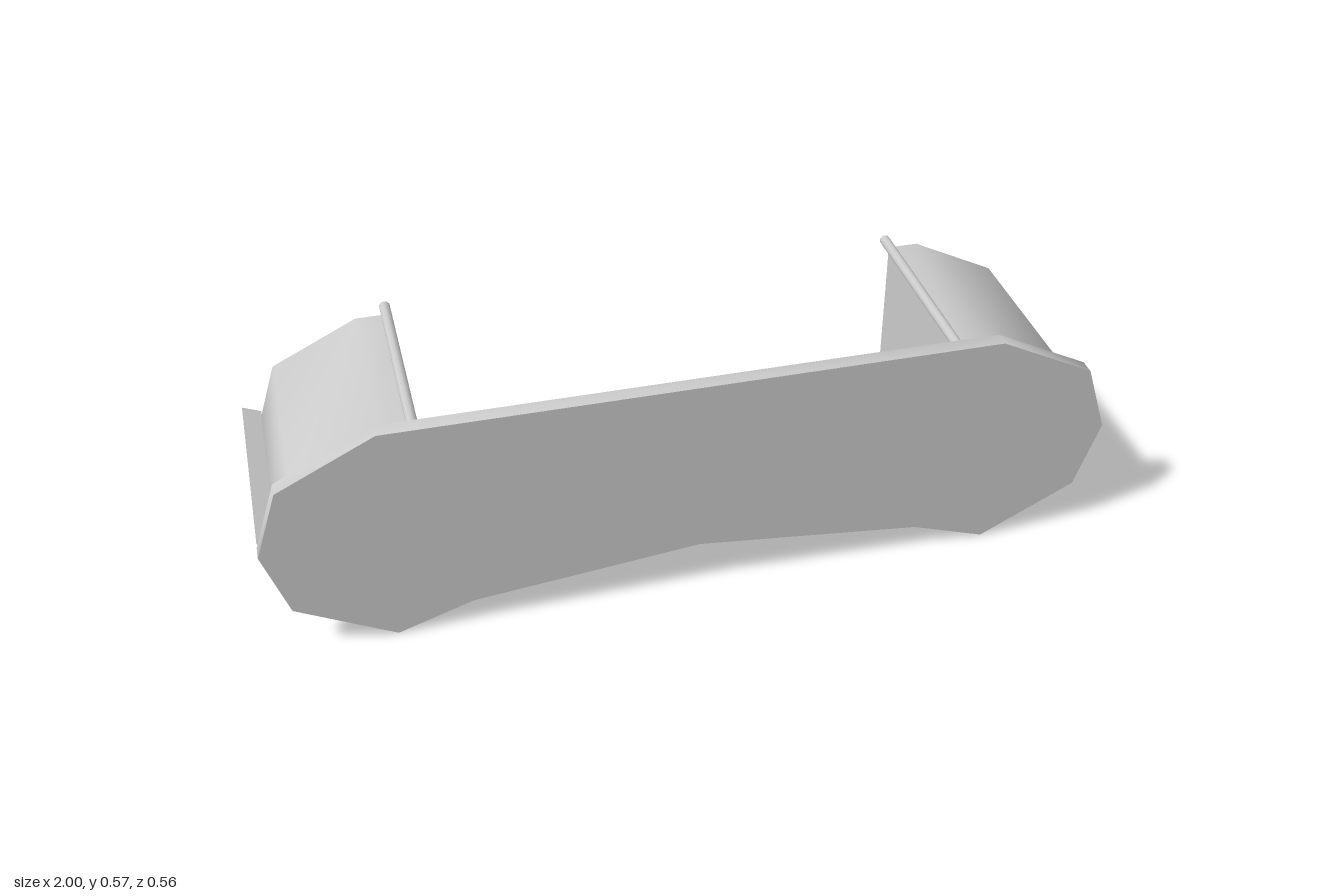
import * as THREE from 'three';
import { toCreasedNormals } from 'three/addons/utils/BufferGeometryUtils.js';

const FRONT = 0.283, PLATE_BACK = 0.245, SHELL_BACK = -0.25, ROD_BACK = -0.282;
const CREASE = 0.9;

const grey = new THREE.MeshStandardMaterial({ color: 0xcccccc });
const greySheet = new THREE.MeshStandardMaterial({ color: 0xcccccc, side: THREE.DoubleSide });

// Mirrors a right-hand half profile into a closed loop
function mirrorLoop(half) {
  const other = half.filter(([x]) => x !== 0).map(([x, y]) => [-x, y]).reverse();
  return [...half, ...other];
}

// Solid prism from an outline, running along z
function prism(points, z0, z1) {
  const shape = new THREE.Shape(points.map(([x, y]) => new THREE.Vector2(x, y)));
  const geo = new THREE.ExtrudeGeometry(shape, { depth: z1 - z0, bevelEnabled: false });
  geo.translate(0, 0, z0);
  return geo;
}

// Open-ended thin sheet following a closed outline
function sheet(points, z0, z1) {
  const pos = [], index = [];
  points.forEach(([x, y], i) => {
    pos.push(x, y, z0, x, y, z1);
    const a = 2 * i, b = 2 * ((i + 1) % points.length);
    index.push(a, b, b + 1, a, b + 1, a + 1);
  });
  const geo = new THREE.BufferGeometry();
  geo.setAttribute('position', new THREE.Float32BufferAttribute(pos, 3));
  geo.setIndex(index);
  return toCreasedNormals(geo, CREASE);
}

// Round rod along z
function roundRod(x, y, r) {
  const geo = new THREE.CylinderGeometry(r, r, PLATE_BACK - ROD_BACK, 10);
  geo.rotateX(Math.PI / 2);
  geo.translate(x, y, (PLATE_BACK + ROD_BACK) / 2);
  return geo;
}

export function createModel() {
  const group = new THREE.Group();
  const add = (name, geo, mat = grey) => {
    const mesh = new THREE.Mesh(geo, mat);
    mesh.name = name;
    group.add(mesh);
  };

  // Front plate
  const plate = mirrorLoop([
    [0, 0.12], [0.54, 0.062], [0.717, 0.002], [0.945, 0.12],
    [1, 0.285], [0.945, 0.452], [0.717, 0.567],
  ]);
  add('frontPlate', toCreasedNormals(prism(plate, PLATE_BACK, FRONT), CREASE));

  // Thin shell with rounded ends and a sunken middle tray, open at the back
  const shell = mirrorLoop([
    [0, 0.165], [0.55, 0.1], [0.712, 0.044], [0.912, 0.145], [0.957, 0.285],
    [0.912, 0.425], [0.705, 0.528], [0.632, 0.528], [0.632, 0.195],
  ]);
  add('shell', sheet(shell, SHELL_BACK, PLATE_BACK), greySheet);

  // Rods along the shell, mirrored left and right
  const sideProfile = [[0.955, 0.28], [0.999, 0.265], [0.99, 0.281], [0.999, 0.298]];
  const footProfile = [[0.705, 0.044], [0.702, 0.001], [0.735, 0.001], [0.717, 0.044]];
  for (const [side, s] of [['left', 1], ['right', -1]]) {
    const flip = (pts) => pts.map(([x, y]) => [s * x, y]);
    add(side + 'TopRod', roundRod(s * 0.632, 0.532, 0.013));
    add(side + 'UnderRod', roundRod(s * 0.335, 0.105, 0.014));
    add(side + 'SideRod', prism(flip(sideProfile), ROD_BACK, PLATE_BACK));
    add(side + 'FootRod', prism(flip(footProfile), ROD_BACK, PLATE_BACK));
  }
  return group;
}
